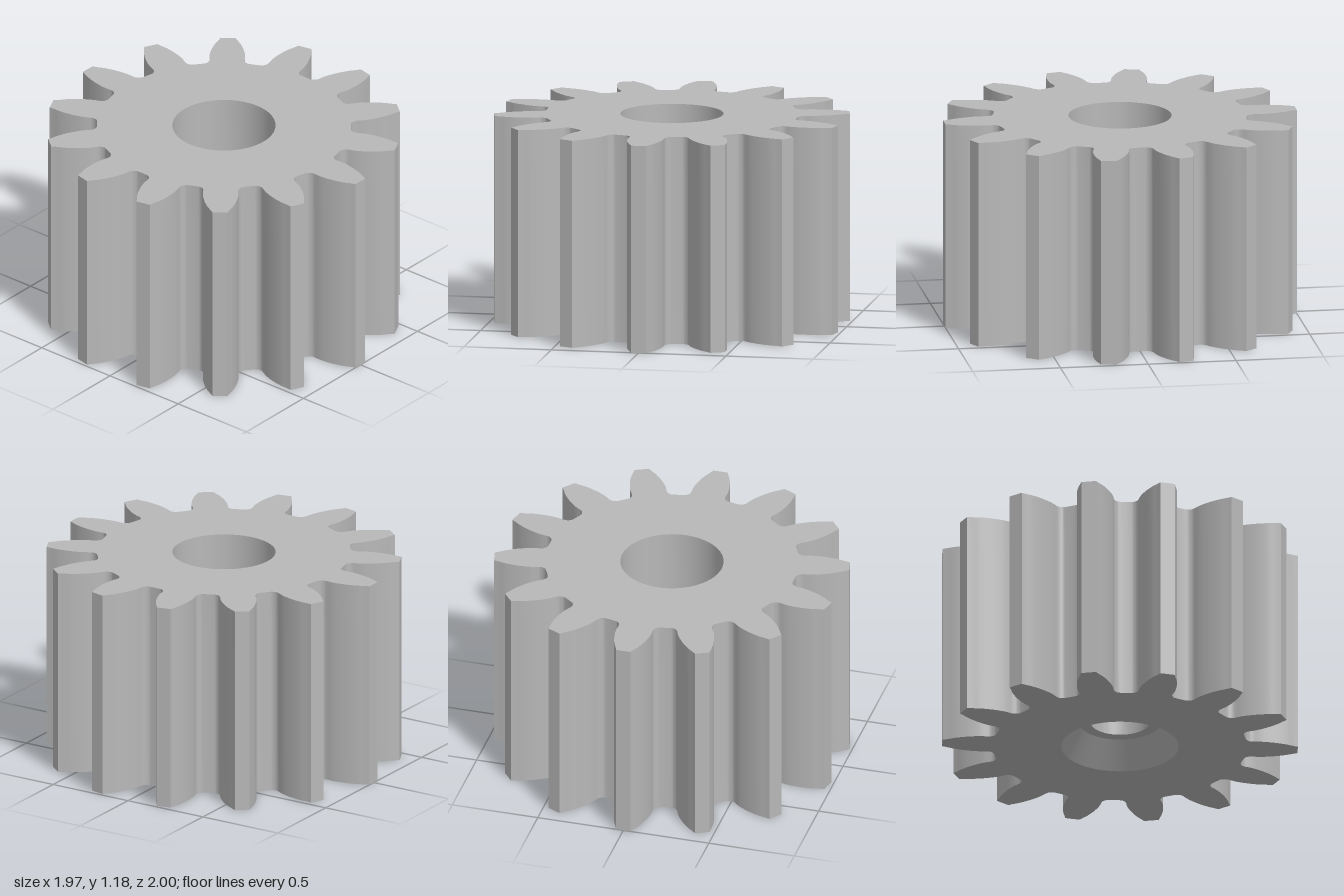
import * as THREE from 'three';
import { toCreasedNormals } from 'three/addons/utils/BufferGeometryUtils.js';

const TEETH = 14, HEIGHT = 1.185, PITCH = 360 / TEETH;

// tooth flank from tip to root: [radius, degrees from the tooth's centre line]
const FLANK = [
  [1.001, 2.4], [0.97, 3.25], [0.94, 4.25], [0.9, 5.3], [0.86, 6.2], [0.82, 6.95], [0.79, 7.35],
  [0.765, 7.5], [0.745, 7.65], [0.73, 8.25], [0.72, 9.15], [0.715, 10.3],
];

// bore from bottom to top: [radius, height] with countersink, shoulder, through hole and socket
const BORE = [[0.33, 0], [0.23, 0.15], [0.165, 0.15], [0.165, 0.32], [0.29, 0.32], [0.29, HEIGHT]];

const polar = (r, deg) => {
  const a = THREE.MathUtils.degToRad(deg);
  return new THREE.Vector2(r * Math.cos(a), r * Math.sin(a));
};

function gearShape() {
  const points = [];
  for (let i = 0; i < TEETH; i++) {
    // one smooth gap between two teeth; the flat tips join the gaps
    const a = 90 + i * PITCH;
    const down = FLANK.map(([r, d]) => polar(r, a + d));
    const up = FLANK.map(([r, d]) => polar(r, a + PITCH - d)).reverse();
    points.push(...new THREE.SplineCurve([...down, ...up]).getPoints(46));
  }
  const shape = new THREE.Shape(points);
  const hole = new THREE.Path();
  hole.absarc(0, 0, 0.29, 0, Math.PI * 2, true);
  shape.holes.push(hole);
  return shape;
}

export function createModel() {
  const steel = new THREE.MeshStandardMaterial({ color: 0xb8b8b8 });
  steel.name = 'steel grey';

  const steps = BORE.length - 1;
  const geometry = new THREE.ExtrudeGeometry(gearShape(), {
    depth: HEIGHT, steps, bevelEnabled: false, curveSegments: 64,
  });
  geometry.rotateX(-Math.PI / 2);

  // move each layer of the hole's wall onto the stepped bore profile
  const pos = geometry.attributes.position;
  for (let i = 0; i < pos.count; i++) {
    const x = pos.getX(i), z = pos.getZ(i), r = Math.hypot(x, z);
    if (r > 0.5) continue;
    const [radius, y] = BORE[Math.round(pos.getY(i) / HEIGHT * steps)];
    pos.setXYZ(i, x * radius / r, y, z * radius / r);
  }

  const gear = new THREE.Mesh(toCreasedNormals(geometry, 0.5), steel);
  gear.name = 'spurGear';
  const group = new THREE.Group();
  group.name = 'pinion';
  group.add(gear);
  return group;
}
